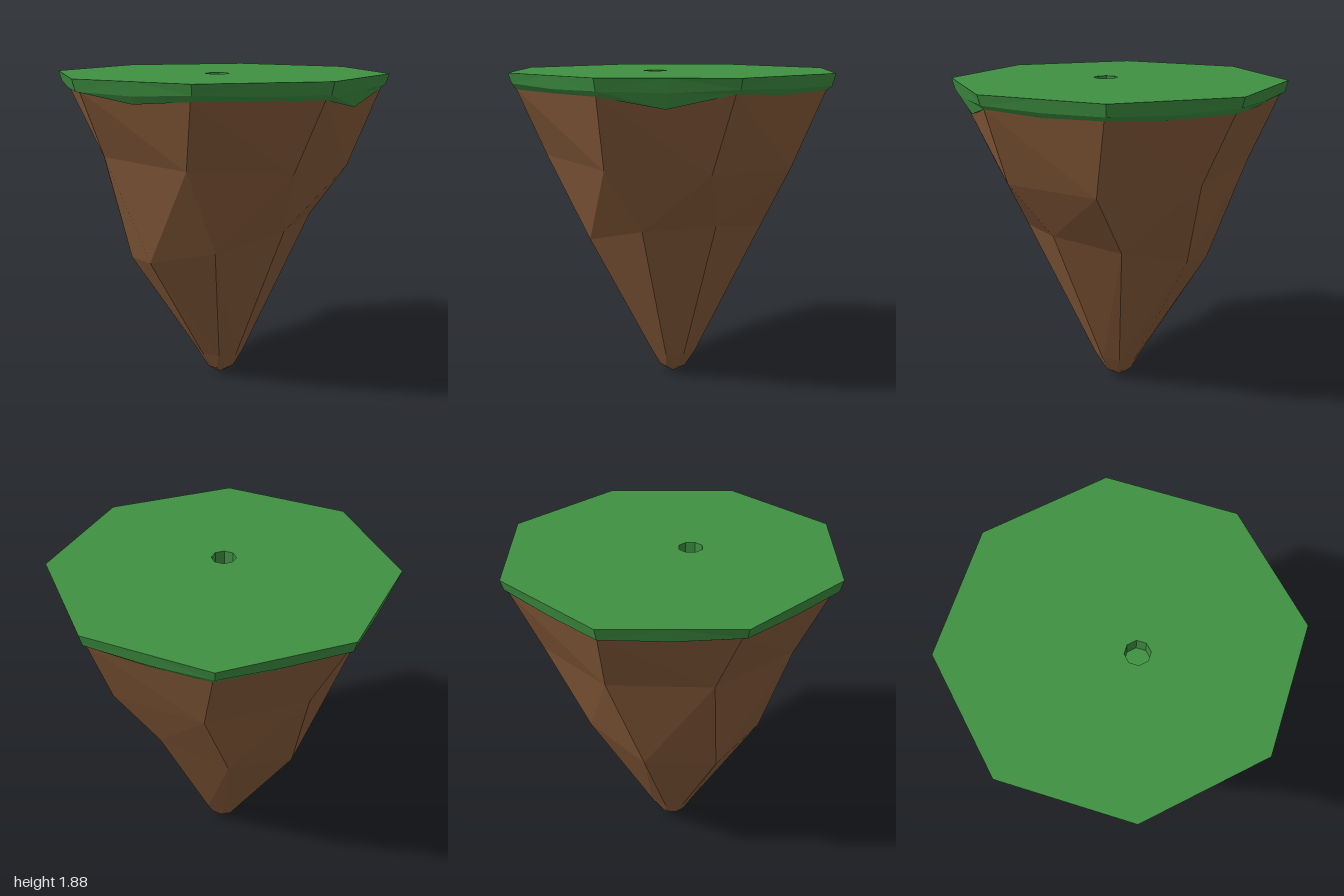
import * as THREE from 'three';

const TOP = 1.885;

// Ring of points around the y axis; angles run from +x towards +z
function ring(radii, heights, turn, count = 8) {
  const pick = (v, i) => (Array.isArray(v) ? v[i % v.length] : v);
  return Array.from({ length: count }, (_, i) => {
    const a = (i / count) * Math.PI * 2 + THREE.MathUtils.degToRad(turn);
    const r = pick(radii, i);
    return new THREE.Vector3(Math.cos(a) * r, pick(heights, i), Math.sin(a) * r);
  });
}

// Skin consecutive rings (top to bottom), splitting each quad on its shorter diagonal
function skin(rings) {
  const pos = [];
  const tri = (...pts) => pts.forEach((p) => pos.push(p.x, p.y, p.z));
  for (let k = 0; k < rings.length - 1; k++) {
    const up = rings[k], low = rings[k + 1], n = up.length;
    for (let i = 0; i < n; i++) {
      const j = (i + 1) % n;
      if (up[i].distanceTo(low[j]) < up[j].distanceTo(low[i])) {
        tri(up[i], up[j], low[j]);
        tri(up[i], low[j], low[i]);
      } else {
        tri(up[i], up[j], low[i]);
        tri(up[j], low[j], low[i]);
      }
    }
  }
  const geo = new THREE.BufferGeometry();
  geo.setAttribute('position', new THREE.Float32BufferAttribute(pos, 3));
  geo.computeVertexNormals();
  return geo;
}

export function createModel() {
  const group = new THREE.Group();
  const earth = new THREE.MeshStandardMaterial({ color: 0x8b5e3c, flatShading: true });
  const grass = new THREE.MeshStandardMaterial({ color: 0x3f9142, flatShading: true, side: THREE.DoubleSide });
  const add = (name, geo, mat) => {
    const mesh = new THREE.Mesh(geo, mat);
    mesh.name = name;
    group.add(mesh);
    return mesh;
  };

  // Tapering rock, each ring slightly twisted and tilted
  add('rock', skin([
    ring(0.95, [1.8, 1.785, 1.79, 1.82, 1.81, 1.8, 1.79, 1.79], 0.8),
    ring(0.77, [1.35, 1.37, 1.4, 1.43, 1.43, 1.41, 1.38, 1.34], 5.2),
    ring(0.55, [1.03, 1.0, 0.9, 0.8, 0.74, 0.78, 0.87, 0.97], -5.5),
    ring(0.145, 0.15, -6),
    ring(0.085, 0.05, 7),
    ring(0.001, 0, 0),
  ]), earth);

  // Grass rim: corners alternate with edge midpoints, some of which hang lower
  const mid = Math.cos(Math.PI / 8);
  const corner = (r) => [r, r * mid];
  const lowEdge = [1.8, 1.72, 1.785, 1.785, 1.79, 1.76, 1.82, 1.81,
    1.81, 1.79, 1.8, 1.785, 1.79, 1.775, 1.79, 1.78];
  add('grassRim', skin([
    ring(corner(1), TOP, 0, 16),
    ring(corner(0.98), [1.825, 1.805, 1.815, 1.81], 0, 16),
    ring(corner(0.95), lowEdge, 0.8, 16),
    ring(corner(0.82), 1.81, 0, 16),
  ]), grass);

  // Flat grass top with a small hole (shape y becomes -z)
  const hole = { z: 0.115, r: 0.072, depth: 0.1 };
  const outline = new THREE.Shape(ring(1, 0, 0).map((p) => new THREE.Vector2(p.x, p.z)));
  outline.holes.push(new THREE.Path(
    ring(hole.r, 0, 0).map((p) => new THREE.Vector2(p.x, p.z - hole.z)),
  ));
  const top = add('grassTop', new THREE.ShapeGeometry(outline), grass);
  top.rotation.x = -Math.PI / 2;
  top.position.y = TOP;

  // Hole wall and floor
  const wall = add('holeWall',
    new THREE.CylinderGeometry(hole.r, hole.r, hole.depth, 8, 1, true), grass);
  wall.position.set(0, TOP - hole.depth / 2, hole.z);
  const floor = add('holeFloor', new THREE.CircleGeometry(hole.r, 8), grass);
  floor.rotation.x = -Math.PI / 2;
  floor.position.set(0, TOP - hole.depth, hole.z);

  return group;
}
